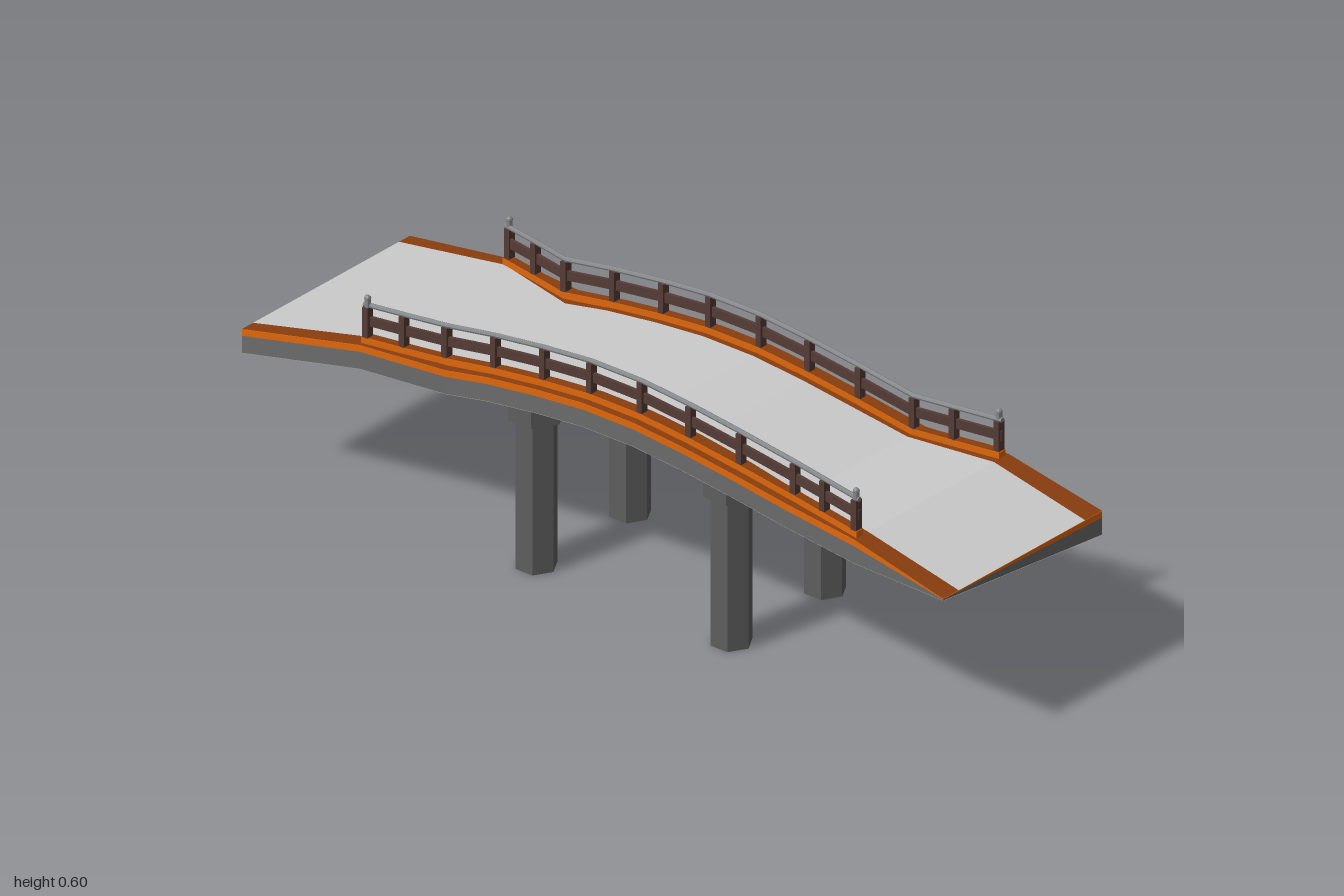
import * as THREE from 'three';

const mat = (color) => new THREE.MeshStandardMaterial({ color, flatShading: true, side: THREE.DoubleSide });
const ROAD = mat(0xcccccc), CONCRETE = mat(0x6b6b6b), UNDERSIDE = mat(0x959595), PILLAR = mat(0x5e5e5e);
const ORANGE = mat(0xe0680c), BROWN = mat(0x8a3e0e), WOOD = mat(0x553c37), METAL = mat(0x85888a);

// Deck stations: x, top height, front outer z, front inner z, back outer z, back inner z
const stations = [
  [-1, 0.385, 0.286, 0.248, -0.287, -0.25],
  [-0.68, 0.445, 0.264, 0.217, -0.262, -0.23],
  [-0.46, 0.446, 0.235, 0.165, -0.24, -0.175],
  [-0.34, 0.469, 0.235, 0.165, -0.24, -0.175],
  [-0.2, 0.487, 0.235, 0.165, -0.24, -0.175],
  [-0.065, 0.499, 0.235, 0.165, -0.24, -0.175],
  [0.08, 0.499, 0.235, 0.165, -0.24, -0.175],
  [0.22, 0.487, 0.235, 0.165, -0.24, -0.175],
  [0.365, 0.469, 0.235, 0.168, -0.24, -0.175],
  [0.52, 0.447, 0.235, 0.178, -0.24, -0.178],
  [0.74, 0.445, 0.265, 0.217, -0.262, -0.212],
  [1, 0.388, 0.27, 0.217, -0.272, -0.214],
];

// Skins cross-sections; each is { x, ring: [[y, z], ...] }, counter-clockwise seen from +x
function loft(name, sections, material, closed = true) {
  const pos = [];
  const tri = (...pts) => pts.forEach((p) => pos.push(...p));
  const at = (s, i) => [s.x, ...s.ring[i % s.ring.length]];
  const n = sections[0].ring.length;
  for (let k = 0; k < sections.length - 1; k++) {
    const s = sections[k], t = sections[k + 1];
    for (let i = 0; i < (closed ? n : n - 1); i++) {
      tri(at(s, i), at(s, i + 1), at(t, i + 1));
      tri(at(s, i), at(t, i + 1), at(t, i));
    }
  }
  if (closed) {
    const s = sections[0], t = sections[sections.length - 1];
    for (let i = 1; i < n - 1; i++) {
      tri(at(s, 0), at(s, i + 1), at(s, i));
      tri(at(t, 0), at(t, i), at(t, i + 1));
    }
  }
  const geo = new THREE.BufferGeometry();
  geo.setAttribute('position', new THREE.Float32BufferAttribute(pos, 3));
  geo.computeVertexNormals();
  const mesh = new THREE.Mesh(geo, material);
  mesh.name = name;
  return mesh;
}

const box = (y0, y1, z0, z1) => [[y0, z1], [y0, z0], [y1, z0], [y1, z1]];

function add(parent, name, geo, material, x, y, z) {
  const mesh = new THREE.Mesh(geo, material);
  mesh.name = name;
  mesh.position.set(x, y, z);
  parent.add(mesh);
}

function interpolate(table, x, column) {
  const k = Math.max(1, table.findIndex((r) => r[0] >= x - 1e-6));
  const a = table[k - 1], b = table[k];
  return THREE.MathUtils.lerp(a[column], b[column], (x - a[0]) / (b[0] - a[0]));
}

function makeDeck() {
  const deck = new THREE.Group();
  deck.name = 'deck';
  const thickness = 0.058, band = 0.016;
  // The front corner of the +x end tapers to nothing
  const frontScale = (x) => (x === 1 ? 0.05 : 1);
  const layer = (name, makeRing, material, closed) => deck.add(loft(name,
    stations.map((s) => ({ x: s[0], ring: makeRing(s, frontScale(s[0])) })), material, closed));

  layer('slab', ([, y, fo, , bo], s) =>
    [[y - thickness * s, fo], [y - thickness, bo], [y - band, bo], [y - band * s, fo]], CONCRETE);
  layer('underside', ([, y, fo, , bo], s) =>
    [[y - thickness * s - 0.001, fo], [y - thickness - 0.001, bo]], UNDERSIDE, false);
  layer('edgeBand', ([, y, fo, , bo], s) =>
    [[y - band * s, fo], [y - band, bo], [y, bo], [y, fo]], ORANGE);

  // Road surface between two flush border strips
  const strip = (name, from, to, material) => layer(name, (s) =>
    [[s[1] + 0.001, s[from]], [s[1] + 0.001, s[to]]], material, false);
  strip('roadSurface', 5, 3, ROAD);
  strip('frontBorder', 3, 2, BROWN);
  strip('backBorder', 4, 5, BROWN);
  return deck;
}

function makeRailing(name, path) {
  const railing = new THREE.Group();
  railing.name = name;
  const curbHeight = 0.016;
  const xs = [-0.675, -0.585, -0.48, -0.34, -0.2, -0.065, 0.08, 0.22, 0.365, 0.52, 0.62, 0.73];
  const points = xs.map((x) => ({ x, y: interpolate(stations, x, 1) + curbHeight, z: interpolate(path, x, 1) }));
  const sweep = (part, ring, material, closed) => railing.add(loft(part, points.map((p, i) => {
    const overhang = i === 0 ? -0.01 : i === points.length - 1 ? 0.01 : 0;
    return { x: p.x + overhang, ring: ring.map(([y, z]) => [p.y + y, p.z + z]) };
  }), material, closed));

  // Raised curb with a brown top
  sweep('curb', box(-curbHeight, 0, -0.011, 0.011), ORANGE);
  sweep('curbTop', [[0.001, -0.011], [0.001, 0.011]], BROWN, false);
  // Middle board and round handrail
  sweep('middleBoard', box(0.027, 0.05, -0.004, 0.004), WOOD);
  const circle = Array.from({ length: 8 }, (_, i) => {
    const a = (i / 8) * Math.PI * 2;
    return [0.077 + 0.006 * Math.sin(a), -0.006 * Math.cos(a)];
  });
  sweep('handrail', circle, METAL);

  // Posts, with rounded caps rising above the handrail on the two ends
  const postGeo = new THREE.BoxGeometry(0.015, 0.074, 0.02);
  const capGeo = new THREE.CylinderGeometry(0.0075, 0.0075, 0.024, 8);
  const knobGeo = new THREE.SphereGeometry(0.008, 8, 6);
  points.forEach((p, i) => {
    add(railing, 'post', postGeo, WOOD, p.x, p.y + 0.037, p.z);
    if (i > 0 && i < points.length - 1) return;
    add(railing, 'postCap', capGeo, METAL, p.x, p.y + 0.084, p.z);
    add(railing, 'postKnob', knobGeo, METAL, p.x, p.y + 0.095, p.z);
  });
  return railing;
}

// Hexagonal pillar with a wider head
function makePillar(x, z) {
  const pillar = new THREE.Group();
  pillar.name = 'pillar';
  const hex = (radius, height) => new THREE.CylinderGeometry(radius, radius, height, 6, 1, false, Math.PI / 6);
  add(pillar, 'shaft', hex(0.049, 0.39), PILLAR, x, 0.195, z);
  add(pillar, 'head', hex(0.066, 0.05), PILLAR, x, 0.397, z);
  return pillar;
}

export function createModel() {
  const bridge = new THREE.Group();
  bridge.name = 'bridge';
  bridge.add(makeDeck());
  bridge.add(makeRailing('frontRailing', [[-0.7, 0.248], [-0.48, 0.205], [0.53, 0.205], [0.74, 0.248]]));
  bridge.add(makeRailing('backRailing', [[-0.7, -0.245], [-0.48, -0.201], [0.53, -0.201], [0.74, -0.243]]));
  for (const x of [-0.26, 0.3]) for (const z of [-0.159, 0.161]) bridge.add(makePillar(x, z));
  return bridge;
}
